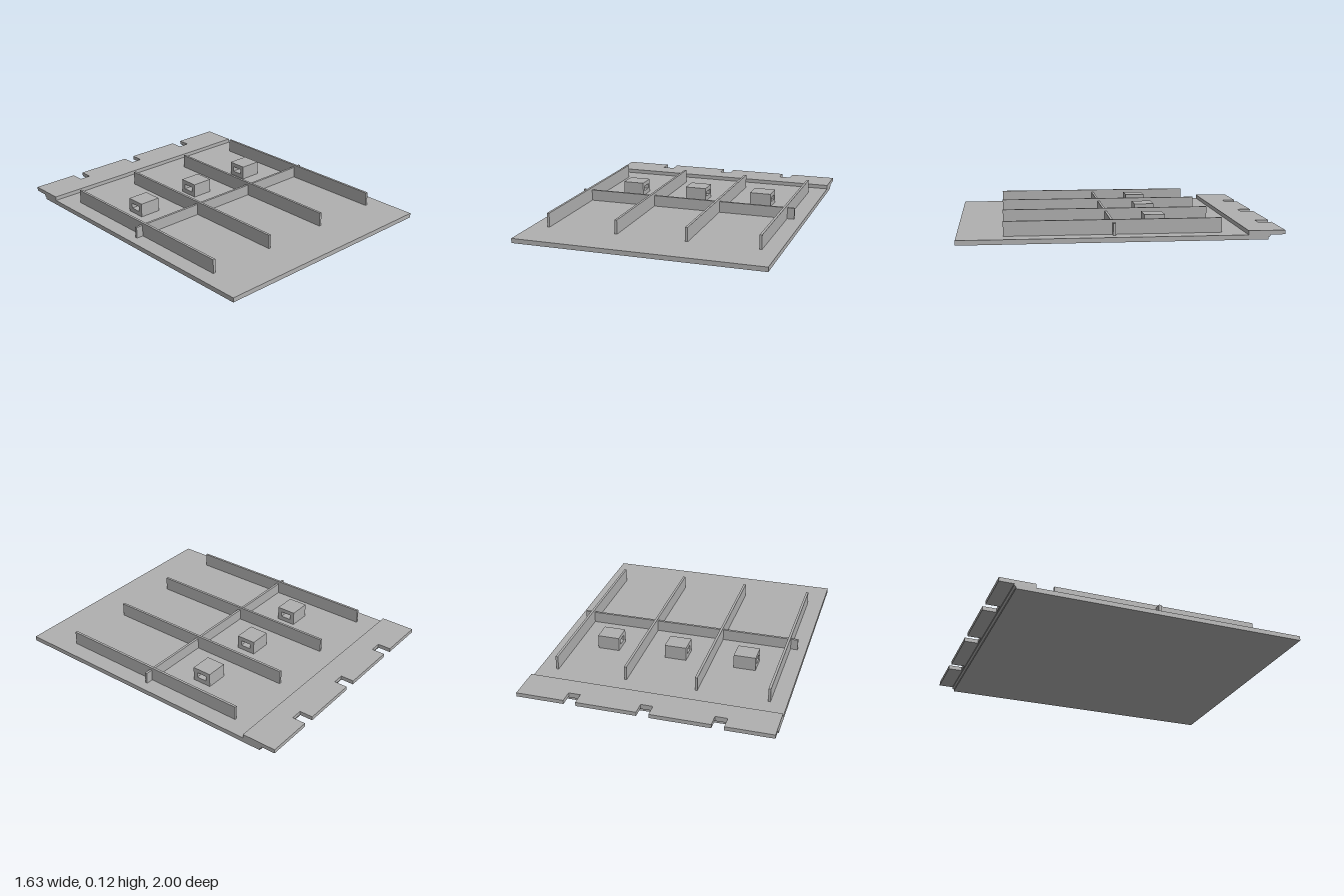
import * as THREE from 'three';

const grey = new THREE.MeshStandardMaterial({ color: 0xb0b0b0 });
grey.name = 'plain grey';

// Box given by its lower and upper limits on each axis
function block(name, [x0, x1], [y0, y1], [z0, z1]) {
  const mesh = new THREE.Mesh(new THREE.BoxGeometry(x1 - x0, y1 - y0, z1 - z0), grey);
  mesh.position.set((x0 + x1) / 2, (y0 + y1) / 2, (z0 + z1) / 2);
  mesh.name = name;
  return mesh;
}

export function createModel() {
  const model = new THREE.Group();
  model.name = 'ribbedPanel';
  const W = 0.813, T = 0.03, LIP = 0.056, TOP = 0.122;

  // Base plate with a small step under its rear edge, swept across x
  const side = new THREE.Shape([
    [-1, 0], [0.895, 0], [0.895, 0.012], [0.907, 0.02], [0.907, T], [-1, T],
  ].map(([back, y]) => new THREE.Vector2(back, y)));
  const baseGeo = new THREE.ExtrudeGeometry(side, { depth: 2 * W, bevelEnabled: false });
  baseGeo.rotateY(Math.PI / 2).translate(-W, 0, 0);
  const base = new THREE.Mesh(baseGeo, grey);
  base.name = 'basePlate';
  model.add(base);

  // Raised rear lip with three square notches
  const lipShape = new THREE.Shape();
  lipShape.moveTo(-W, 0.772);
  lipShape.lineTo(W, 0.772);
  lipShape.lineTo(W, 1);
  for (const x of [0.463, -0.004, -0.469]) {
    lipShape.lineTo(x + 0.039, 1);
    lipShape.lineTo(x + 0.039, 0.912);
    lipShape.lineTo(x - 0.039, 0.912);
    lipShape.lineTo(x - 0.039, 1);
  }
  lipShape.lineTo(-W, 1);
  lipShape.closePath();
  const lipGeo = new THREE.ExtrudeGeometry(lipShape, { depth: LIP - T, bevelEnabled: false });
  lipGeo.rotateX(-Math.PI / 2).translate(0, T, 0);
  const lip = new THREE.Mesh(lipGeo, grey);
  lip.name = 'rearLip';
  model.add(lip);

  // Long ribs and the cross rib
  for (const x of [-0.7, -0.235, 0.23, 0.695]) {
    model.add(block('longRib', [x - 0.008, x + 0.008], [T, TOP], [-0.63, 0.717]));
  }
  model.add(block('crossRib', [-0.755, 0.75], [T, 0.104], [0.036, 0.052]));

  // Bracket blocks, each with a slot running through along x
  for (const x of [-0.468, -0.003, 0.462]) {
    const h = TOP - T;
    const face = new THREE.Shape([
      [-0.065, 0], [0.065, 0], [0.065, h], [-0.065, h],
    ].map((p) => new THREE.Vector2(...p)));
    face.holes.push(new THREE.Path([
      [-0.036, 0.03], [-0.036, 0.064], [0.036, 0.064], [0.036, 0.03],
    ].map((p) => new THREE.Vector2(...p))));
    const geo = new THREE.ExtrudeGeometry(face, { depth: 0.145, bevelEnabled: false });
    geo.translate(0, 0, -0.0725).rotateY(Math.PI / 2);
    const bracket = new THREE.Mesh(geo, grey);
    bracket.position.set(x, T, -0.235);
    bracket.name = 'slottedBlock';
    model.add(bracket);
  }
  return model;
}
